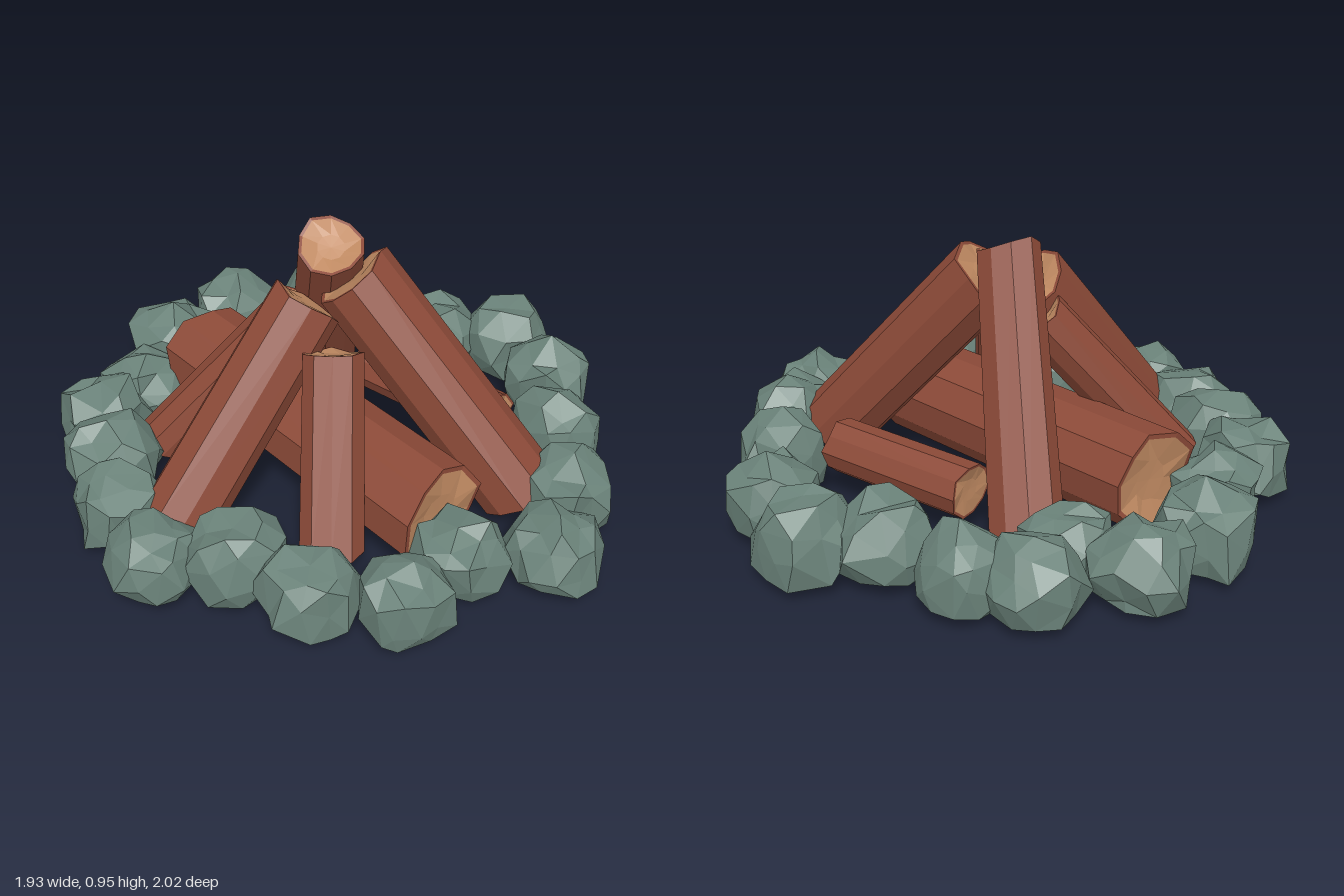
import * as THREE from 'three';

const bark = new THREE.MeshStandardMaterial({ color: 0x8c4a38, flatShading: true });
const wood = new THREE.MeshStandardMaterial({ color: 0xc08a62, flatShading: true });
const rock = new THREE.MeshStandardMaterial({ color: 0x6a8279, flatShading: true });

// Repeatable noise in -1..1 from a few numbers
function noise(a, b, c, d) {
  const s = Math.sin(a * 12.9898 + b * 78.233 + c * 37.719 + d * 9.151) * 43758.5453;
  return (s - Math.floor(s)) * 2 - 1;
}

// Shift each corner of a geometry by a rule
function reshape(geo, rule) {
  const pos = geo.attributes.position;
  const v = new THREE.Vector3();
  for (let i = 0; i < pos.count; i++) {
    v.fromBufferAttribute(pos, i);
    rule(v);
    pos.setXYZ(i, v.x, v.y, v.z);
  }
  geo.computeVertexNormals();
  return geo;
}

// Log: tapered faceted bark with an uneven rim, and slightly hollowed cut ends
function makeLog(name, top, bottom, topRadius, bottomRadius, seed) {
  const a = new THREE.Vector3(...top), b = new THREE.Vector3(...bottom);
  const axis = a.clone().sub(b), length = axis.length(), sides = 10;
  const roughen = (v) => {
    const r = Math.hypot(v.x, v.z);
    if (r < topRadius * 0.5) return;
    const k = Math.round((Math.atan2(v.z, v.x) / (2 * Math.PI)) * sides + sides) % sides;
    const swell = 1 + 0.06 * noise(k, seed, 1, 0);
    v.x *= swell;
    v.z *= swell;
    v.y += r * 0.14 * noise(k, seed, Math.sign(v.y), 3);
  };
  const group = new THREE.Group();
  group.name = name;
  const body = new THREE.Mesh(
    reshape(new THREE.CylinderGeometry(topRadius, bottomRadius, length, sides, 1, true, Math.PI / 2), roughen), bark);
  body.name = 'bark';
  group.add(body);

  for (const [end, radius] of [[1, topRadius], [-1, bottomRadius]]) {
    // Thin bark rim around a sunken face of pale wood
    const profile = (points) => {
      const pts = points.map(([r, y]) => new THREE.Vector2(r * radius, end * (length / 2 + y * radius)));
      if (end < 0) pts.reverse();
      return reshape(new THREE.LatheGeometry(pts, sides, Math.PI / 2), roughen);
    };
    const rim = new THREE.Mesh(profile([[1, 0], [0.9, -0.01]]), bark);
    const face = new THREE.Mesh(profile([[0.9, -0.01], [0.4, -0.1], [0, -0.12]]), wood);
    rim.name = 'barkRim';
    face.name = 'cutEnd';
    group.add(rim, face);
  }
  group.position.copy(a).add(b).multiplyScalar(0.5);
  group.quaternion.setFromUnitVectors(new THREE.Vector3(0, 1, 0), axis.normalize());
  return group;
}

// Stone: angular low-poly lump with steep sides and a wide flat underside
function makeStone(x, z, radius, height, seed) {
  const base = 0.05, middle = 0.13;
  const geo = reshape(new THREE.IcosahedronGeometry(1, 1), (v) => {
    const [p, q, s] = [v.x, v.y, v.z].map((n) => Math.round(n * 100) / 100 + 0);
    const spread = radius * (1.03 + 0.12 * noise(p, q, s, seed));
    const x = v.x * spread + 0.14 * radius * noise(q, s, p, seed);
    const z = v.z * spread + 0.14 * radius * noise(s, p, q, seed);
    const rise = Math.sign(v.y) * Math.abs(v.y) ** 0.75 + 0.17 * noise(s, q, p, seed);
    const y = middle + rise * (height - middle);
    v.set(x, Math.max(base + 0.008 * noise(p, s, q, seed), y), z);
  });
  const stone = new THREE.Mesh(geo, rock);
  stone.name = 'stone';
  stone.position.set(x, 0, z);
  stone.rotation.y = seed * 1.7;
  return stone;
}

export function createModel() {
  const model = new THREE.Group();
  model.name = 'campfire';

  // Leaning logs, then the two lying on the ground: top, bottom, radii
  const logs = [
    ['frontLeftLog', [0.02, 0.81, 0.045], [0.465, 0.115, 0.485], 0.135, 0.135],
    ['backLog', [-0.035, 0.9, 0], [0.09, 0.09, -0.48], 0.114, 0.132],
    ['rightLog', [-0.135, 0.755, 0.06], [-0.65, 0.11, 0.23], 0.125, 0.132],
    ['frontLog', [-0.11, 0.65, 0.22], [-0.23, 0.1, 0.54], 0.101, 0.108],
    ['thinBackLog', [-0.13, 0.66, -0.045], [-0.59, 0.12, -0.18], 0.095, 0.095],
    ['groundLog', [0.13, 0.2, 0.6], [-0.34, 0.225, -0.51], 0.183, 0.178],
    ['smallGroundLog', [0.51, 0.19, 0.19], [0.21, 0.19, -0.29], 0.098, 0.098],
  ];
  logs.forEach((log, i) => model.add(makeLog(...log, i + 1)));

  // Ring of stones: x, z, radius, height
  const stones = [
    [-0.14, -0.83, 0.155, 0.3], [0.2, -0.79, 0.155, 0.28], [0.37, -0.65, 0.155, 0.29], [0.02, -0.64, 0.145, 0.27],
    [0.54, -0.41, 0.165, 0.3], [0.78, -0.3, 0.165, 0.3], [0.82, -0.01, 0.155, 0.3], [0.71, 0.28, 0.16, 0.3],
    [0.59, 0.57, 0.155, 0.3], [0.43, 0.79, 0.155, 0.27], [0.14, 0.72, 0.145, 0.27], [-0.09, 0.845, 0.15, 0.3],
    [-0.36, 0.71, 0.155, 0.28], [-0.53, 0.49, 0.15, 0.3], [-0.77, 0.41, 0.15, 0.27], [-0.83, 0.13, 0.15, 0.28],
    [-0.79, -0.11, 0.155, 0.29], [-0.77, -0.34, 0.155, 0.28], [-0.58, -0.47, 0.155, 0.27], [-0.42, -0.71, 0.165, 0.3],
  ];
  const ring = new THREE.Group();
  ring.name = 'stoneRing';
  stones.forEach(([x, z, r, h], i) => ring.add(makeStone(x, z, r, h, i + 1)));
  model.add(ring);
  return model;
}
